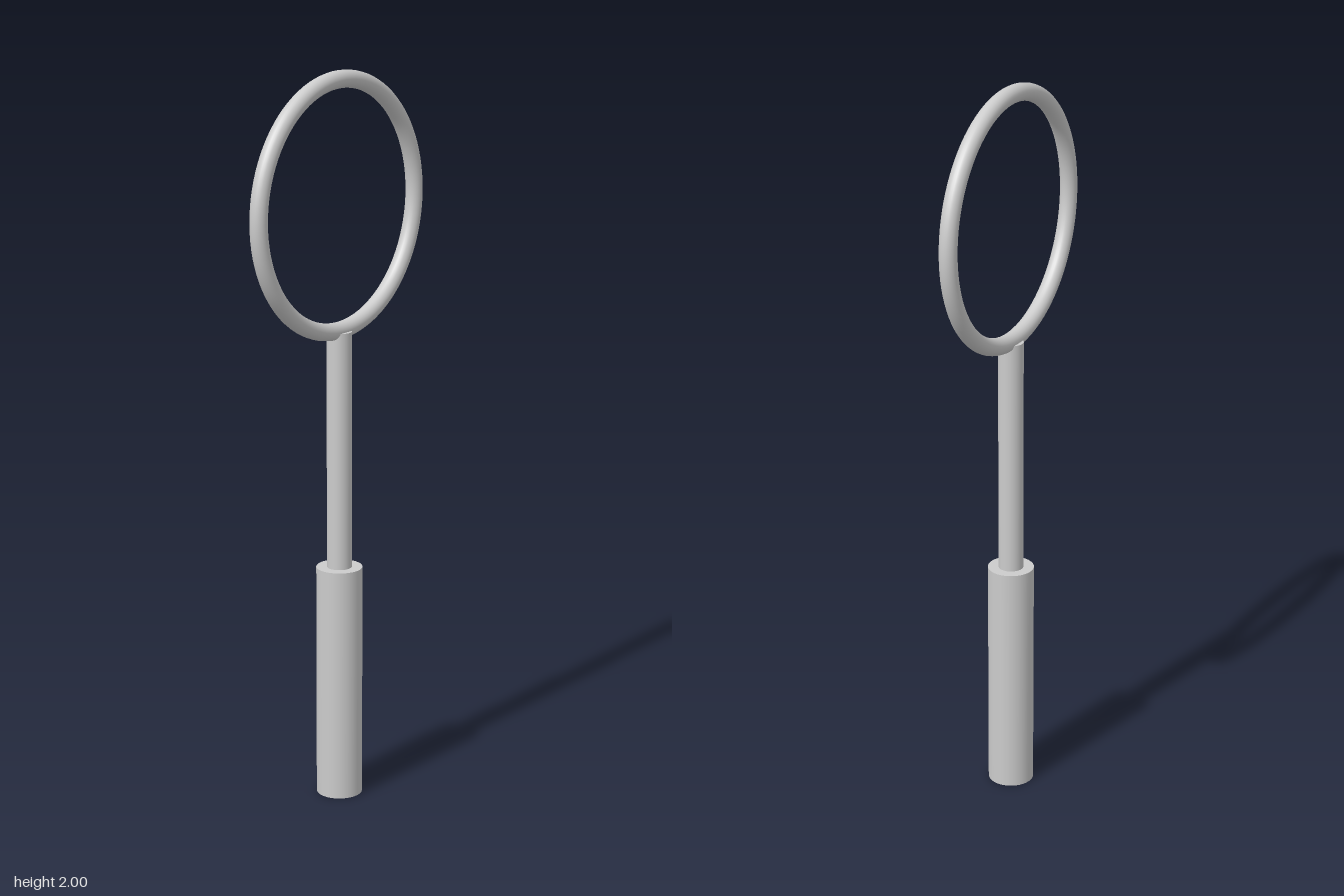
import * as THREE from 'three';

export function createModel() {
  const group = new THREE.Group();
  const material = new THREE.MeshStandardMaterial({ color: 0xcccccc });

  function addPart(name, geometry, y) {
    const mesh = new THREE.Mesh(geometry, material);
    mesh.name = name;
    mesh.position.y = y;
    group.add(mesh);
    return mesh;
  }

  // upright cylinder between two heights
  function addPost(name, radius, bottom, top) {
    const geometry = new THREE.CylinderGeometry(radius, radius, top - bottom, 48);
    return addPart(name, geometry, (bottom + top) / 2);
  }

  // thick grip and thin shaft
  addPost('handle', 0.063, 0, 0.655);
  addPost('shaft', 0.034, 0.655, 1.31);

  // open hoop standing in the YZ plane
  const hoop = addPart('hoop', new THREE.TorusGeometry(0.332, 0.0235, 24, 96), 1.6445);
  hoop.rotation.y = Math.PI / 2;

  return group;
}
